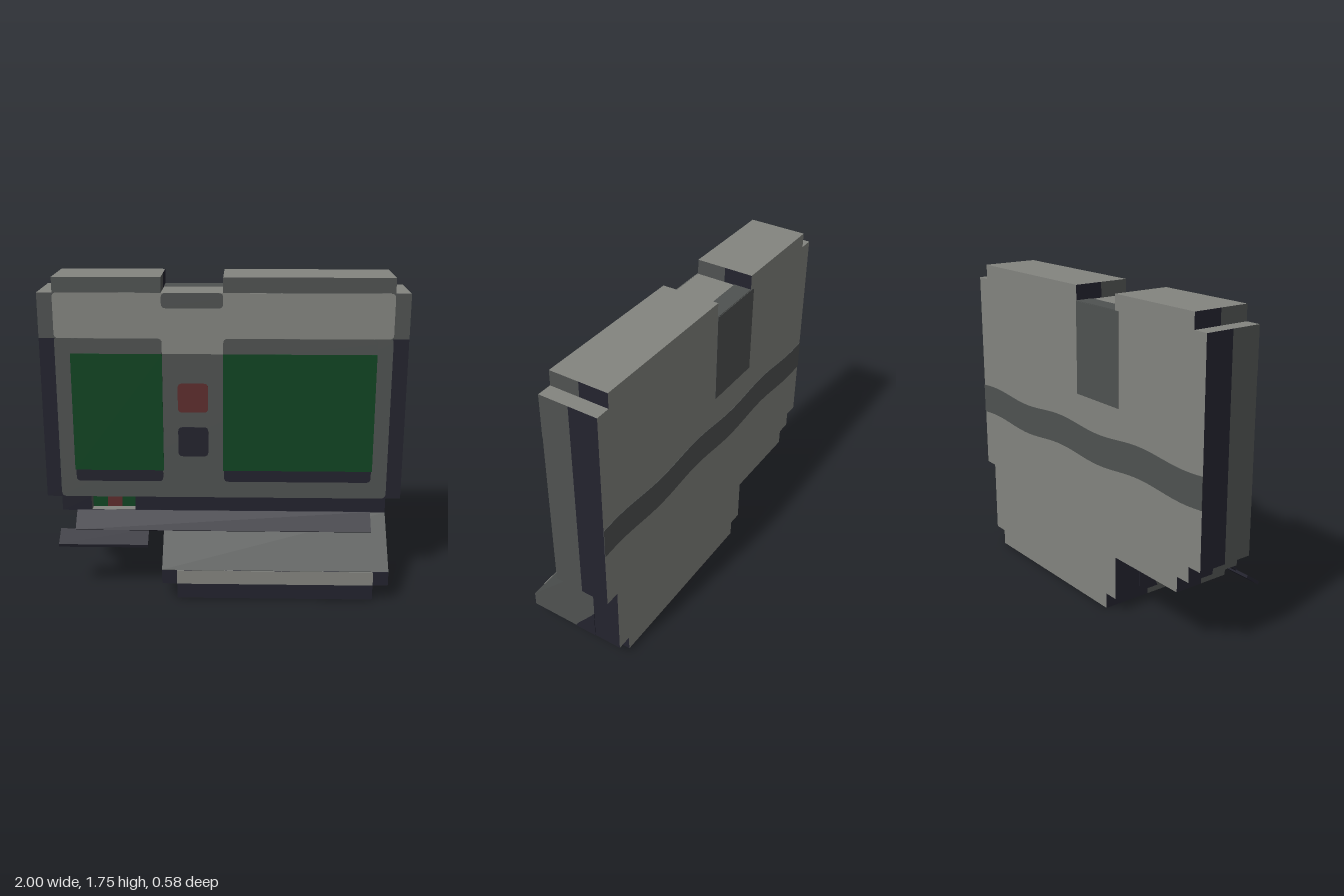
import * as THREE from 'three';

export function createModel() {
  const model = new THREE.Group();
  const mat = (name, color) => {
    const m = new THREE.MeshStandardMaterial({ color });
    m.name = name;
    return m;
  };
  const light = mat('light grey', 0x83847f);
  const mid = mat('mid grey', 0x4f5251);
  const dark = mat('dark navy', 0x23232e);
  const green = mat('screen green', 0x104422);
  const red = mat('button red', 0x5e2d2d);

  const BACK = -0.29, SPLIT = -0.13, FRONT = 0.034;

  function add(name, geometry, material) {
    const mesh = new THREE.Mesh(geometry, material);
    mesh.name = name;
    model.add(mesh);
    return mesh;
  }
  function box(name, x0, x1, y0, y1, z0, z1, material) {
    const g = new THREE.BoxGeometry(x1 - x0, y1 - y0, z1 - z0);
    g.translate((x0 + x1) / 2, (y0 + y1) / 2, (z0 + z1) / 2);
    return add(name, g, material);
  }
  // slab of the case: light top, bottom and back, sides painted in two tones
  function slab(name, x0, x1, y0, y1, frontMat, split = SPLIT, front = FRONT) {
    box(name + 'Back', x0, x1, y0, y1, BACK, split, [dark, dark, light, light, light, light]);
    box(name + 'Front', x0, x1, y0, y1, split, front, [mid, mid, light, light, frontMat, light]);
  }
  // side profile of [z, y] points swept from x0 to x1
  function sweep(name, points, x0, x1, material) {
    const shape = new THREE.Shape(points.map(([z, y]) => new THREE.Vector2(z, y)));
    const g = new THREE.ExtrudeGeometry(shape, { depth: x1 - x0, bevelEnabled: false });
    g.rotateY(-Math.PI / 2);
    g.translate(x1, 0, 0);
    return add(name, g, material);
  }
  // thin painted plate with rounded corners on the front
  function plate(name, x0, x1, y0, y1, r, layer, material) {
    const s = new THREE.Shape();
    s.moveTo(x0 + r, y0);
    s.lineTo(x1 - r, y0);
    s.quadraticCurveTo(x1, y0, x1, y0 + r);
    s.lineTo(x1, y1 - r);
    s.quadraticCurveTo(x1, y1, x1 - r, y1);
    s.lineTo(x0 + r, y1);
    s.quadraticCurveTo(x0, y1, x0, y1 - r);
    s.lineTo(x0, y0 + r);
    s.quadraticCurveTo(x0, y0, x0 + r, y0);
    const g = new THREE.ExtrudeGeometry(s, { depth: 0.002 * layer, bevelEnabled: false, curveSegments: 4 });
    g.translate(0, 0, FRONT);
    return add(name, g, material);
  }

  // case, stacked from top to bottom
  slab('topBlockRight', -0.917, -0.333, 1.667, 1.75, mid);
  slab('topBlockLeft', 0, 0.917, 1.667, 1.75, mid);
  slab('mainCase', -1, 1, 0.505, 1.667, dark);
  box('lowerCaseBack', -0.917, 0.917, 0.42, 0.505, BACK, SPLIT, [dark, dark, light, light, light, light]);
  for (const [x0, x1] of [[-0.917, -0.75], [-0.5, 0.917]])
    box('lowerCaseFront', x0, x1, 0.42, 0.505, SPLIT, FRONT, [mid, mid, light, light, dark, light]);
  slab('lowerStep', -0.833, 0.917, 0.335, 0.42, dark);
  slab('foot', -0.333, 0.917, 0.088, 0.335, mid);
  slab('footBase', -0.25, 0.833, 0, 0.088, dark, 0, 0.285);

  // striped card in the slot
  for (let i = 0; i < 3; i++)
    box('slotCard', -0.75 + i / 12, -0.75 + (i + 1) / 12, 0.42, 0.505, SPLIT, -0.03, i === 1 ? red : green);

  // sloping foot front with dark side patches
  sweep('footSlope', [[FRONT, 0.42], [0.285, 0.17], [0.285, 0.088], [FRONT, 0.088]], -0.333, 0.917, mid);
  for (const [x0, x1] of [[-0.336, -0.333], [0.917, 0.92]])
    sweep('footSidePatch', [[SPLIT, 0.26], [-0.11, 0.23], [-0.01, 0.11], [0, 0.088], [SPLIT, 0.088]], x0, x1, dark);
  box('footFrontTrim', -0.333, 0.917, 0.088, 0.168, 0.285, 0.287, dark);
  box('footFrontStripe', -0.25, 0.833, 0.088, 0.168, 0.286, 0.29, light);

  // tray strip and tilted flap
  sweep('trayStrip', [[FRONT, 0.425], [0.04, 0.425], [0.127, 0.338], [0.117, 0.33], [FRONT, 0.413]], -0.833, 0.833, dark);
  sweep('trayFlap', [[0.115, 0.34], [0.2, 0.28], [0.195, 0.262], [0.11, 0.325]], -0.917, -0.417, dark);

  // front face panels
  plate('shoulderPanel', -1, 1, 1.42, 1.667, 0.001, 1, mid);
  plate('facePanel', -0.917, 0.917, 0.505, 1.43, 0.03, 1, mid);
  plate('headerPanel', -0.917, 0.917, 1.42, 1.667, 0.025, 2, light);
  plate('headerTab', -0.35, 0.015, 1.335, 1.43, 0.001, 2, light);
  plate('headerNotch', -0.333, 0, 1.585, 1.667, 0.025, 3, mid);
  for (const [x0, x1] of [[-0.833, -0.333], [0, 0.833]]) {
    plate('screenCorner', x0, x1, 1.3, 1.42, 0.025, 3, mid);
    plate('screenLedge', x0 + 0.005, x1 - 0.005, 0.6, 0.7, 0.025, 2, dark);
    plate('screen', x0, x1, 0.667, 1.335, 0.001, 4, green);
  }
  plate('redButton', -0.25, -0.083, 1.005, 1.17, 0.025, 2, red);
  plate('darkButton', -0.25, -0.083, 0.75, 0.92, 0.025, 2, dark);

  // back markings
  box('backPatch', -0.36, 0, 1.17, 1.667, BACK - 0.003, BACK, mid);
  box('notchPatch', -0.333, 0, 1.667, 1.67, BACK, -0.19, mid);
  const wave = new THREE.Shape();
  const N = 40, dip = (x) => 0.012 * Math.sin(x * 9);
  for (let i = 0; i <= N; i++) {
    const x = -1 + (2 * i) / N;
    if (i) wave.lineTo(x, 0.83 + dip(x));
    else wave.moveTo(x, 0.83 + dip(x));
  }
  for (let i = N; i >= 0; i--) {
    const x = -1 + (2 * i) / N;
    wave.lineTo(x, 1 + dip(x));
  }
  const band = new THREE.ExtrudeGeometry(wave, { depth: 0.003, bevelEnabled: false });
  band.translate(0, 0, BACK - 0.003);
  add('backBand', band, mid);

  return model;
}
